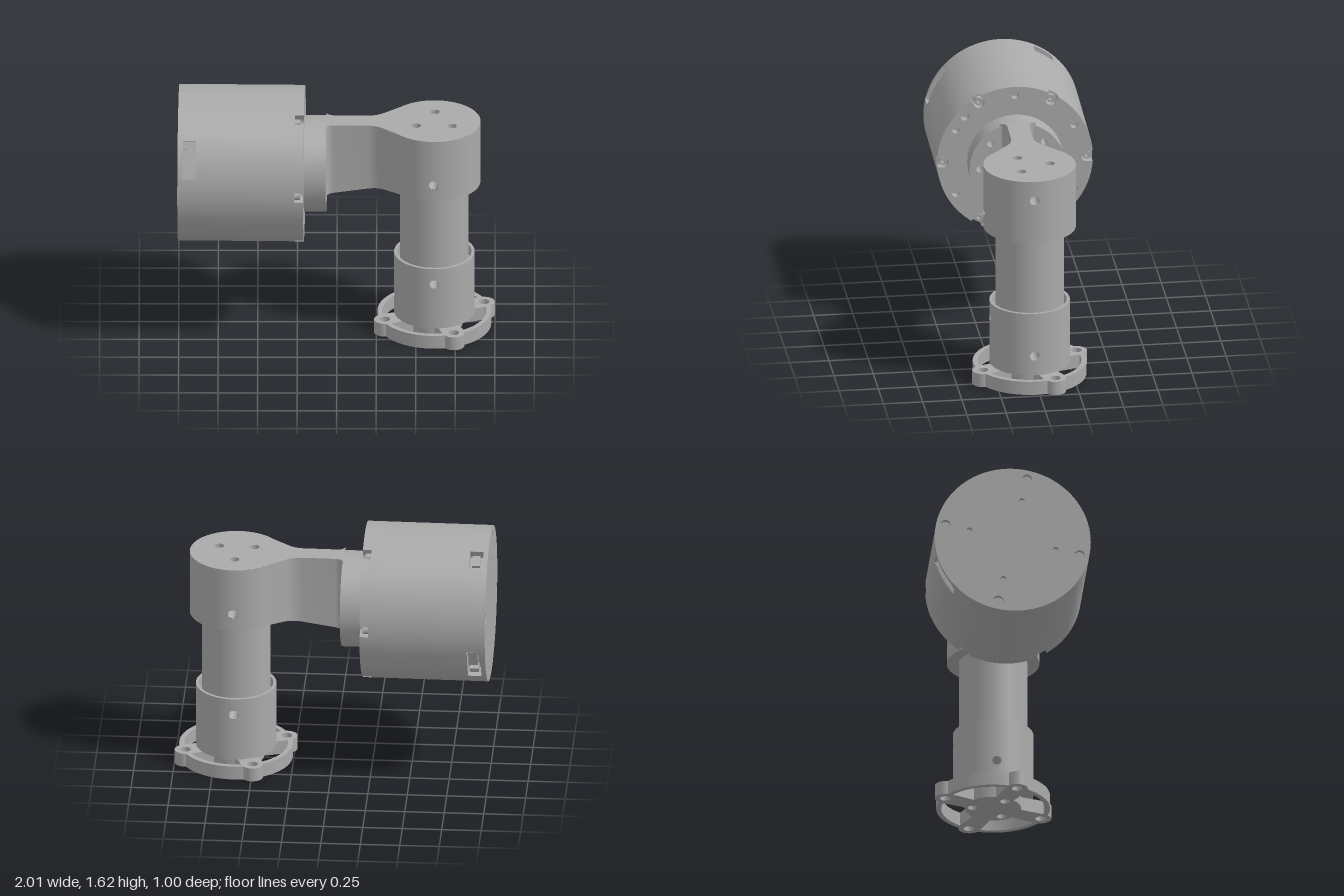
import * as THREE from 'three';
import { mergeGeometries, toCreasedNormals } from 'three/addons/utils/BufferGeometryUtils.js';

const PI = Math.PI, deg = PI / 180;
const grey = new THREE.MeshStandardMaterial({ color: 0xaaaaaa });
grey.name = 'machined grey';

function add(parent, name, geo) {
  const mesh = new THREE.Mesh(geo, grey);
  mesh.name = name;
  parent.add(mesh);
  return mesh;
}

function circle(r, x = 0, y = 0, Type = THREE.Shape) {
  const c = new Type();
  c.absarc(x, y, r, 0, PI * 2, false);
  return c;
}

// Drills round holes of radius r on a bolt circle
function drill(shape, r, boltR, angles) {
  for (const a of angles) {
    shape.holes.push(circle(r, boltR * Math.cos(a), boltR * Math.sin(a), THREE.Path));
  }
  return shape;
}

// Plan shape extruded upward from y0 to y1 (shape y is -z)
function slab(shape, y0, y1, seg = 16) {
  const g = new THREE.ExtrudeGeometry(shape, { depth: y1 - y0, bevelEnabled: false, curveSegments: seg });
  g.rotateX(-PI / 2).translate(0, y0, 0);
  return toCreasedNormals(g, 0.6);
}

// Flat face at height y, facing up or down
function face(shape, y, up) {
  const g = new THREE.ShapeGeometry(shape, 32);
  g.rotateX(-PI / 2);
  return (up ? g : inward(g)).translate(0, y, 0);
}

// Turns a closed skin inside out
function inward(g) {
  g.setIndex(Array.from(g.index.array).reverse());
  const n = g.attributes.normal;
  for (let i = 0; i < n.count; i++) n.setXYZ(i, -n.getX(i), -n.getY(i), -n.getZ(i));
  return g;
}

// Round wall with openings sorted by angle: {a, half} is a full gap, {y, r} adds a drilled patch in it
function wall(R, y0, y1, openings) {
  const parts = [], mid = (y0 + y1) / 2;
  openings.forEach((o, i) => {
    const next = openings[(i + 1) % openings.length];
    const start = o.a + o.half;
    let end = next.a - next.half;
    if (end <= start) end += PI * 2;
    parts.push(new THREE.CylinderGeometry(R, R, y1 - y0, Math.ceil((end - start) / 0.07), 1, true, start, end - start)
      .translate(0, mid, 0));
    if (!o.r) return;
    const w = o.half * R;
    const s = new THREE.Shape([[-w, y0], [0, y0], [w, y0], [w, y1], [0, y1], [-w, y1]]
      .map(p => new THREE.Vector2(...p)));
    s.holes.push(circle(o.r, 0, o.y, THREE.Path));
    const g = new THREE.ShapeGeometry(s, 16), p = g.attributes.position, n = g.attributes.normal;
    for (let k = 0; k < p.count; k++) {
      const t = o.a + p.getX(k) / R;
      p.setXYZ(k, R * Math.sin(t), p.getY(k), R * Math.cos(t));
      n.setXYZ(k, Math.sin(t), 0, Math.cos(t));
    }
    parts.push(g);
  });
  return mergeGeometries(parts);
}

// Inside skin of a drilled hole along y
const bore = (r, len) => inward(new THREE.CylinderGeometry(r, r, len, 20, 1, true));

const boltAngles = [90, 210, 330].map(a => a * deg);
const hole = (a, y) => ({ a, y, r: 0.03, half: 0.16 });

// Mounting foot, sleeve and tube
function buildColumn() {
  const g = new THREE.Group();
  g.name = 'column';
  const a0 = 0.374, lobes = [0, 1, 2, 3].map(k => a0 + k * PI / 2);
  const foot = new THREE.Shape();
  for (const a of lobes) {
    foot.absarc(0.337 * Math.cos(a), 0.337 * Math.sin(a), 0.068, a - 1.32, a + 1.32, false);
    foot.absarc(0, 0, 0.36, a + 0.184, a + PI / 2 - 0.184, false);
    const slot = new THREE.Path();
    slot.absarc(0, 0, 0.328, a + 0.22, a + PI / 2 - 0.22, false);
    slot.absarc(0, 0, 0.178, a + PI / 2 - 0.36, a + 0.36, true);
    slot.closePath();
    foot.holes.push(slot);
  }
  drill(foot, 0.034, 0.337, lobes);
  drill(foot, 0.03, 0.13, boltAngles);
  add(g, 'mountingFoot', slab(foot, 0, 0.09));

  add(g, 'sleeve', wall(0.255, 0.09, 0.51,
    [hole(0, 0.4), hole(PI / 2, 0.22), hole(PI, 0.4), hole(PI * 1.5, 0.22)]));
  add(g, 'sleeveFloor', face(drill(circle(0.255), 0.03, 0.13, boltAngles), 0.09, false));
  const rim = [[0.255, 0.51], [0.235, 0.51], [0.235, 0.44], [0.217, 0.44]].map(p => new THREE.Vector2(...p));
  add(g, 'sleeveRim', toCreasedNormals(new THREE.LatheGeometry(rim, 64), 0.6));
  add(g, 'sleeveBoreFront', bore(0.03, 0.505).rotateX(PI / 2).translate(0, 0.4, 0));
  add(g, 'sleeveBoreSide', bore(0.03, 0.505).rotateZ(PI / 2).translate(0, 0.22, 0));
  add(g, 'tube', new THREE.CylinderGeometry(0.217, 0.217, 0.57, 64, 1, true).translate(0, 0.725, 0));
  return g;
}

// Round clamp head with the neck that reaches to the flange
function buildArm() {
  const g = new THREE.Group();
  g.name = 'arm';
  add(g, 'clampHead', wall(0.293, 1.01, 1.43, [hole(0, 1.12), hole(PI / 2, 1.3), hole(PI, 1.12)]));
  add(g, 'clampTop', face(drill(circle(0.293), 0.03, 0.13, boltAngles), 1.43, true));
  const under = circle(0.293);
  under.holes.push(circle(0.216, 0, 0, THREE.Path));
  add(g, 'clampUnderside', face(under, 1.01, false));
  add(g, 'clampBoreFront', bore(0.03, 0.58).rotateX(PI / 2).translate(0, 1.12, 0));
  add(g, 'clampBoreSide', bore(0.03, 0.3).rotateZ(PI / 2).translate(0.142, 1.3, 0));
  for (const a of boltAngles) {
    add(g, 'clampBoltBore', bore(0.03, 0.09).translate(0.13 * Math.cos(a), 1.385, -0.13 * Math.sin(a)));
  }

  const neck = new THREE.Shape();
  neck.moveTo(-0.685, -0.115);
  neck.quadraticCurveTo(-0.68, -0.07, -0.635, -0.07);
  neck.lineTo(-0.43, -0.07);
  neck.quadraticCurveTo(-0.365, -0.07, -0.32, -0.11);
  neck.lineTo(-0.21, -0.203);
  neck.lineTo(-0.21, 0.203);
  neck.lineTo(-0.32, 0.11);
  neck.quadraticCurveTo(-0.365, 0.07, -0.43, 0.07);
  neck.lineTo(-0.635, 0.07);
  neck.quadraticCurveTo(-0.68, 0.07, -0.685, 0.115);
  const geo = slab(neck, 1.01, 1.43, 6), p = geo.attributes.position;
  // The underside slopes down toward the flange
  for (let i = 0; i < p.count; i++) {
    if (p.getY(i) < 1.1) p.setY(i, 1.01 - 0.065 * THREE.MathUtils.clamp((-0.25 - p.getX(i)) / 0.43, 0, 1));
  }
  add(g, 'neck', geo);
  return g;
}

// Motor built along y, angles measured from the model's +z toward up
function buildMotor() {
  const g = new THREE.Group();
  g.name = 'motor';
  const R = 0.495, at = list => list.map(a => a * deg - PI / 2);

  add(g, 'outputFlange', slab(drill(circle(0.305), 0.022, 0.24, at([0, 45, 135, 180, 225, 270, 315])), 0.065, 0.205, 32));

  // Front cap with six open screw notches
  const cap = new THREE.Shape(), w = 0.035, rc = 0.458, d = Math.asin(w / R);
  const notches = at([0, 60, 120, 180, 240, 300]);
  for (const a of notches) {
    cap.absarc(rc * Math.cos(a), rc * Math.sin(a), w, a - PI / 2, a + PI / 2, true);
    cap.absarc(0, 0, R, a + d, a + PI / 3 - d, false);
    const head = circle(0.026, rc * Math.cos(a), rc * Math.sin(a));
    head.holes.push(circle(0.013, rc * Math.cos(a), rc * Math.sin(a), THREE.Path));
    add(g, 'capScrew', slab(head, 0.225, 0.26, 6));
  }
  drill(cap, 0.024, 0.435, at([30, 90, 150, 210, 270, 330]));
  drill(cap, 0.027, 0.442, at([44, 224]));
  add(g, 'frontCap', slab(cap, 0.205, 0.26));

  add(g, 'housing', new THREE.CylinderGeometry(R, R, 0.625, 96).translate(0, 0.5725, 0));

  // Rear band with three connector pockets
  const ports = [[28, 14], [122, 8], [208, 14]].map(([a, h]) => ({ a: a * deg, half: h * deg }));
  add(g, 'rearBand', wall(R, 0.885, 0.97, ports));
  for (const { a, half } of ports) {
    const port = new THREE.Group(), width = 2 * R * Math.sin(half);
    port.name = 'connectorPort';
    port.rotation.y = a;
    add(port, 'pocket', inward(new THREE.BoxGeometry(width, 0.085, 0.07))).position.set(0, 0.9275, 0.453);
    add(port, 'plug', new THREE.BoxGeometry(width * 0.55, 0.05, 0.04)).position.set(-width * 0.12, 0.925, 0.443);
    add(port, 'latch', new THREE.BoxGeometry(width * 0.15, 0.06, 0.05)).position.set(width * 0.36, 0.925, 0.443);
    g.add(port);
  }

  // Rear cover with its bolt holes
  const rear = circle(R), spokes = at([-12, 78, 168, 258]);
  drill(rear, 0.032, 0.435, spokes);
  drill(rear, 0.018, 0.28, spokes);
  add(g, 'rearCover', slab(rear, 0.97, 1.0, 48));
  add(g, 'rearHoleFloor', face(circle(0.475), 0.971, true));
  return g;
}

export function createModel() {
  const model = new THREE.Group();
  model.name = 'motorMount';
  const column = buildColumn();
  column.position.set(0.617, 0, 0.018);
  const upper = new THREE.Group();
  upper.name = 'upperAssembly';
  upper.position.set(0.617, 0, 0.018);
  upper.rotation.y = -0.018;
  const motor = buildMotor();
  motor.position.set(-0.617, 1.125, 0);
  motor.rotation.z = PI / 2;
  upper.add(buildArm(), motor);
  model.add(column, upper);
  return model;
}
